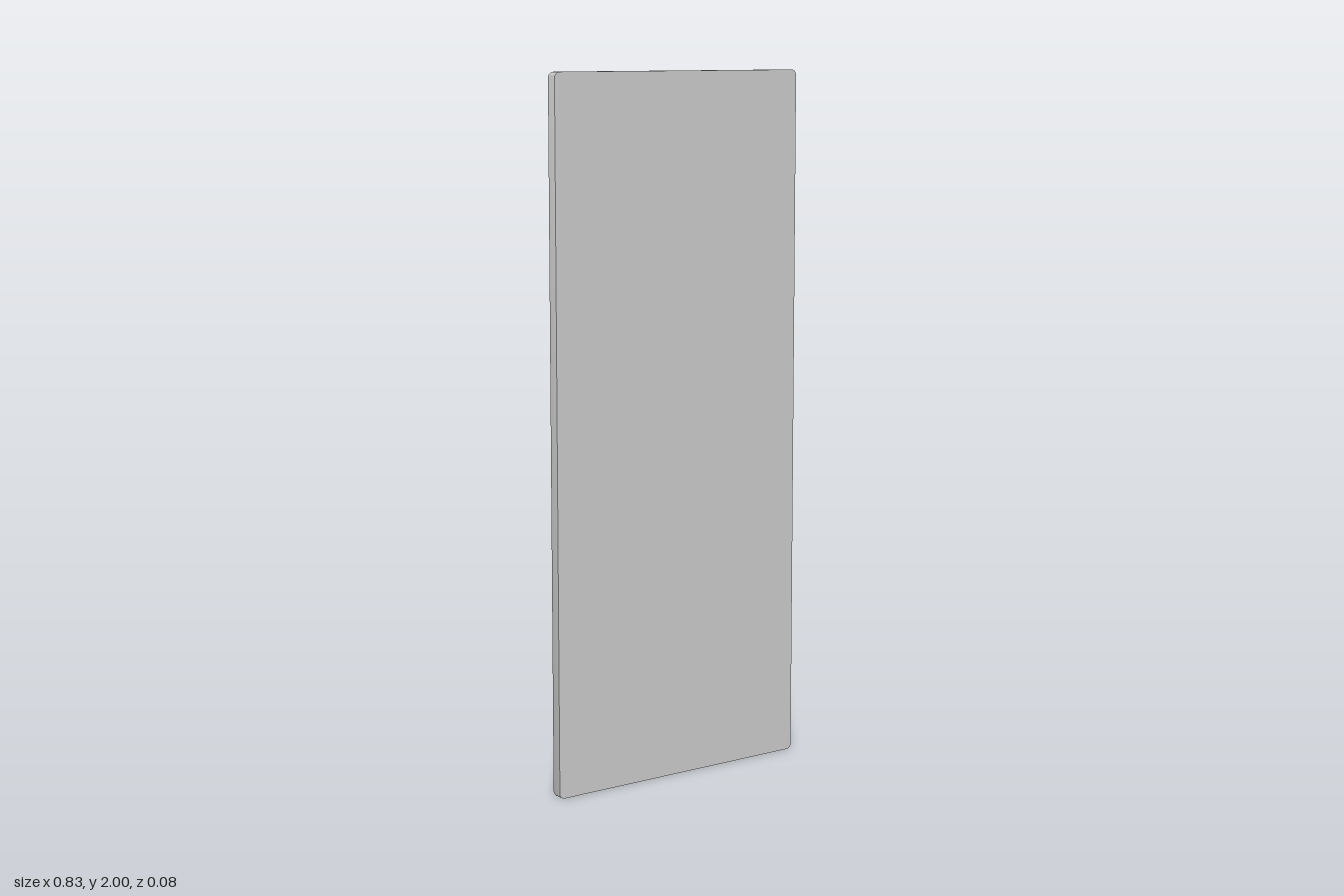
import * as THREE from 'three';
import { toCreasedNormals } from 'three/addons/utils/BufferGeometryUtils.js';

const HALF_W = 0.414, HEIGHT = 2, FRONT = 0.039, BACK = 0.001;
const CORNER = 0.016, FILLET = 0.01, ARC = 5;

// Rounded rectangle outline, counter-clockwise seen from the front
function outline(inset) {
  const pts = [], r = CORNER - inset;
  for (let q = 0; q < 4; q++) {
    const sx = q === 0 || q === 3 ? 1 : -1, sy = q < 2 ? 1 : -1;
    for (let i = 0; i <= ARC; i++) {
      const a = (q + i / ARC) * Math.PI / 2;
      pts.push([
        sx * (HALF_W - CORNER) + r * Math.cos(a),
        HEIGHT / 2 + sy * (HEIGHT / 2 - CORNER) + r * Math.sin(a),
      ]);
    }
  }
  return pts;
}

// Slab with a square front edge and a rounded back edge
function panelGeometry() {
  const rings = [[0, FRONT]];
  for (let i = 0; i <= 5; i++) {
    const a = i / 5 * Math.PI / 2;
    rings.push([FILLET * (1 - Math.cos(a)), BACK + FILLET * (1 - Math.sin(a))]);
  }
  const n = outline(0).length, pos = [], index = [];
  pos.push(0, HEIGHT / 2, FRONT, 0, HEIGHT / 2, BACK);
  for (const [inset, z] of rings) for (const [x, y] of outline(inset)) pos.push(x, y, z);

  const at = (j, i) => 2 + j * n + i % n;
  const last = rings.length - 1;
  for (let i = 0; i < n; i++) {
    index.push(0, at(0, i), at(0, i + 1));
    index.push(1, at(last, i + 1), at(last, i));
    for (let j = 0; j < last; j++) {
      const a = at(j, i), b = at(j, i + 1), c = at(j + 1, i), d = at(j + 1, i + 1);
      index.push(a, c, b, b, c, d);
    }
  }
  const g = new THREE.BufferGeometry();
  g.setAttribute('position', new THREE.Float32BufferAttribute(pos, 3));
  g.setIndex(index);
  return toCreasedNormals(g, Math.PI / 5);
}

// Bent bar pull: two legs, two quarter bends and a straight grip
function handleGeometry() {
  const x = 0.35, z = -0.031, low = 0.894, high = 1.051, bend = 0.02;
  const v = (y, zz) => new THREE.Vector3(x, y, zz);
  const path = new THREE.CurvePath();
  path.add(new THREE.LineCurve3(v(low, BACK + 0.004), v(low, z + bend)));
  path.add(new THREE.QuadraticBezierCurve3(v(low, z + bend), v(low, z), v(low + bend, z)));
  path.add(new THREE.LineCurve3(v(low + bend, z), v(high - bend, z)));
  path.add(new THREE.QuadraticBezierCurve3(v(high - bend, z), v(high, z), v(high, z + bend)));
  path.add(new THREE.LineCurve3(v(high, z + bend), v(high, BACK + 0.004)));
  return new THREE.TubeGeometry(path, 64, 0.008, 12, false);
}

export function createModel() {
  const group = new THREE.Group();
  group.name = 'cabinetDoor';
  const material = new THREE.MeshStandardMaterial({ color: 0xcccccc });

  const add = (name, geometry) => {
    const mesh = new THREE.Mesh(geometry, material);
    mesh.name = name;
    group.add(mesh);
  };
  add('doorPanel', panelGeometry());
  add('handle', handleGeometry());
  return group;
}
